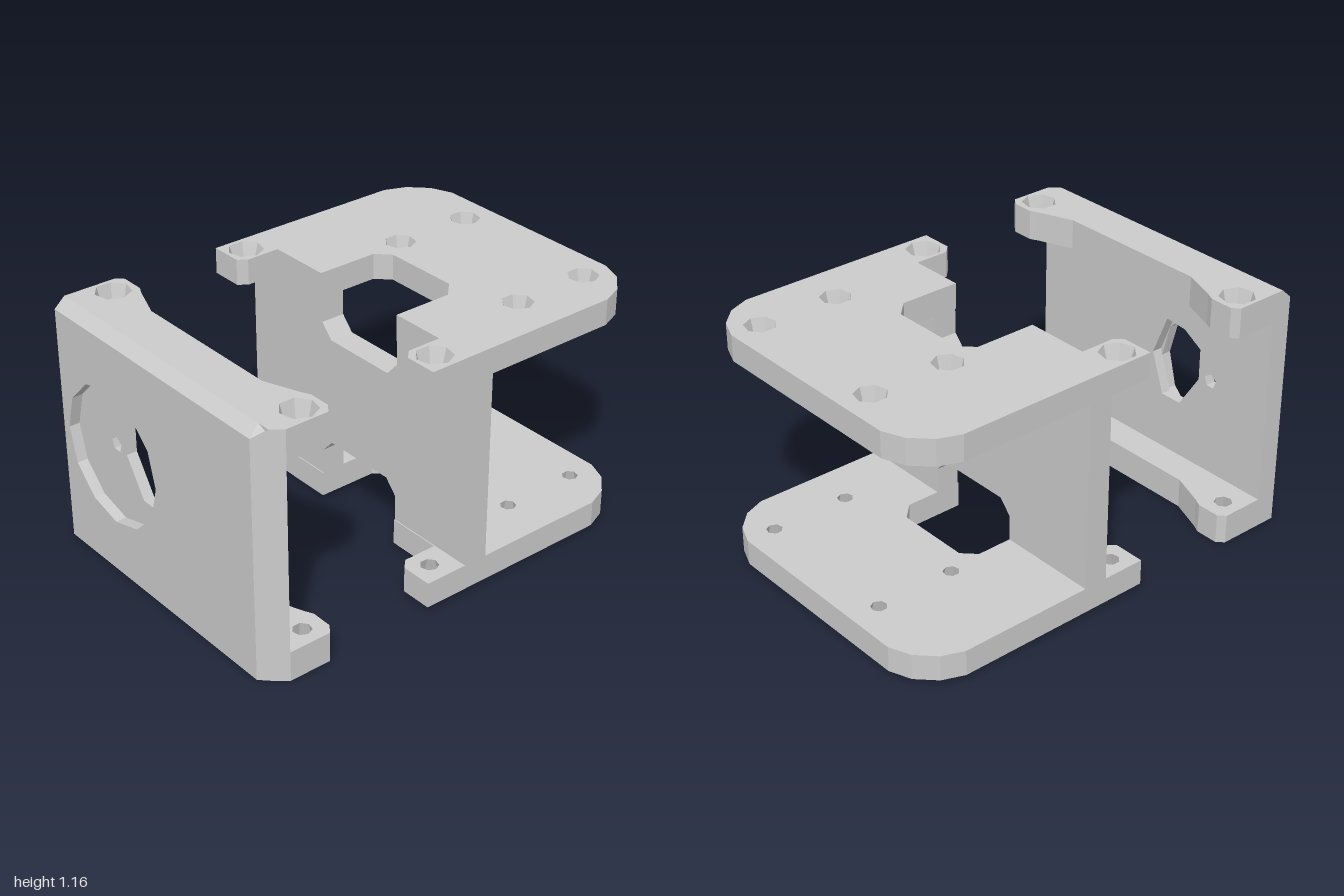
import * as THREE from 'three';

const material = new THREE.MeshStandardMaterial({ color: 0xcccccc, flatShading: true, side: THREE.DoubleSide });
const SIDES = 7;

function mesh(geometry, name) {
  const m = new THREE.Mesh(geometry, material);
  m.name = name;
  return m;
}

// Corner points of a regular polygon
function ring(u, v, r, sides = SIDES) {
  return Array.from({ length: sides }, (_, i) => {
    const a = (i / sides) * Math.PI * 2;
    return [u + r * Math.sin(a), v + r * Math.cos(a)];
  });
}

function extrude(points, holes, depth) {
  const vectors = (list) => list.map(([u, v]) => new THREE.Vector2(u, v));
  const shape = new THREE.Shape(vectors(points));
  holes.forEach((h) => shape.holes.push(new THREE.Path(vectors(h))));
  return new THREE.ExtrudeGeometry(shape, { depth, bevelEnabled: false });
}

// Outline in (x, z), thickened from y0 to y1
function slab(points, holes, y0, y1) {
  const flip = (list) => list.map(([x, z]) => [x, -z]);
  return extrude(flip(points), holes.map(flip), y1 - y0).rotateX(-Math.PI / 2).translate(0, y0, 0);
}

// Outline in (z, y), thickened from x0 to x1
function panel(points, holes, x0, x1) {
  const flip = (list) => list.map(([z, y]) => [-z, y]);
  return extrude(flip(points), holes.map(flip), x1 - x0).rotateY(Math.PI / 2).translate(x0, 0, 0);
}

// Horizontal plate with screw holes that narrow towards the inner face
function drilledPlate(name, points, screws, outerY, innerY) {
  const g = new THREE.Group();
  g.name = name;
  const holes = screws.map(([x, z, r]) => ring(x, z, r));
  g.add(mesh(slab(points, holes, Math.min(outerY, innerY), Math.max(outerY, innerY)), name + 'Body'));
  screws.forEach(([x, z, r]) => {
    const profile = [[r, outerY], [r * 0.52, innerY], [r, innerY]].map(([a, b]) => new THREE.Vector2(a, b));
    g.add(mesh(new THREE.LatheGeometry(profile, SIDES).translate(x, 0, z), 'countersink'));
  });
  return g;
}

// Lower the outer top edge to form a bevel
function bevelTop(geometry) {
  const p = geometry.attributes.position;
  for (let i = 0; i < p.count; i++) {
    if (p.getY(i) > 1.1 && p.getX(i) < -0.96) p.setY(i, 1.115);
  }
  geometry.computeVertexNormals();
  return geometry;
}

function createClampBracket() {
  const g = new THREE.Group();
  g.name = 'clampBracket';

  // Wall in two layers: round recess outside, shaft opening and pin hole inside
  const outline = [[-0.71, 0], [0.61, 0], [0.61, 1.16], [-0.71, 1.16]];
  const shaftOpening = [[-0.02, 0.6], [-0.1, 0.8], [-0.21, 0.79], [-0.31, 0.73], [-0.31, 0.58], [-0.2, 0.41], [-0.09, 0.41]];
  g.add(mesh(bevelTop(panel(outline, [ring(-0.35, 0.57, 0.32, 12)], -1, -0.95)), 'recessedWall'));
  g.add(mesh(panel(outline, [shaftOpening, ring(-0.38, 0.6, 0.035, 5)], -0.95, -0.9), 'innerWall'));
  // Chamfered front end of the wall
  const end = [[-1, 0.61], [-0.95, 0.61], [-0.9, 0.61], [-0.9, 0.71], [-0.95, 0.67], [-1, 0.62]];
  g.add(mesh(bevelTop(slab(end, [], 0, 1.16)), 'wallEnd'));

  // Flanges with an ear at each end
  const flange = [
    [-0.95, -0.71], [-0.7, -0.71], [-0.67, -0.68], [-0.67, -0.57], [-0.69, -0.53], [-0.75, -0.37],
    [-0.75, 0.37], [-0.69, 0.53], [-0.67, 0.57], [-0.67, 0.67], [-0.7, 0.71], [-0.9, 0.71], [-0.95, 0.67],
  ];
  const screws = [[-0.77, -0.62, 0.08], [-0.77, 0.62, 0.08]];
  g.add(drilledPlate('lowerFlange', flange, screws, 0, 0.14));
  g.add(drilledPlate('upperFlange', flange, screws, 1.16, 1.02));
  return g;
}

function createMainBracket() {
  const g = new THREE.Group();
  g.name = 'mainBracket';

  // Upright wall notched at the top and bottom
  const wall = [
    [-0.71, 0.02], [-0.23, 0.02], [-0.23, 0.26], [-0.17, 0.325], [0.2, 0.325], [0.26, 0.26], [0.26, 0.02], [0.71, 0.02],
    [0.71, 1.14], [0.26, 1.14], [0.26, 0.905], [0.2, 0.84], [-0.17, 0.84], [-0.23, 0.905], [-0.23, 1.14], [-0.71, 1.14],
  ].map(([z, y]) => [z, Math.min(Math.max(y, 0.03), 1.13)]);
  g.add(mesh(panel(wall, [], 0.025, 0.14), 'uprightWall'));

  // Plates with rounded far corners, a central notch and two ears
  const plate = [
    [-0.18, -0.71], [0.78, -0.71], [0.88, -0.67], [0.96, -0.59], [1, -0.49],
    [1, 0.49], [0.96, 0.59], [0.88, 0.67], [0.78, 0.71], [-0.18, 0.71],
    [-0.18, 0.56], [-0.14, 0.52], [0.02, 0.52], [0.02, 0.26], [0.3, 0.26], [0.37, 0.19],
    [0.37, -0.17], [0.31, -0.23], [0.02, -0.23], [0.02, -0.53], [-0.14, -0.53], [-0.18, -0.56],
  ];
  const screws = [[-0.085, -0.62, 0.08], [-0.085, 0.61, 0.08]];
  for (const x of [0.48, 0.86]) for (const z of [-0.25, 0.49]) screws.push([x, z, 0.07]);
  g.add(drilledPlate('lowerPlate', plate, screws, 0.02, 0.14));
  g.add(drilledPlate('upperPlate', plate, screws, 1.14, 1.02));
  return g;
}

export function createModel() {
  const model = new THREE.Group();
  model.name = 'motorMount';
  model.add(createClampBracket(), createMainBracket());
  return model;
}
